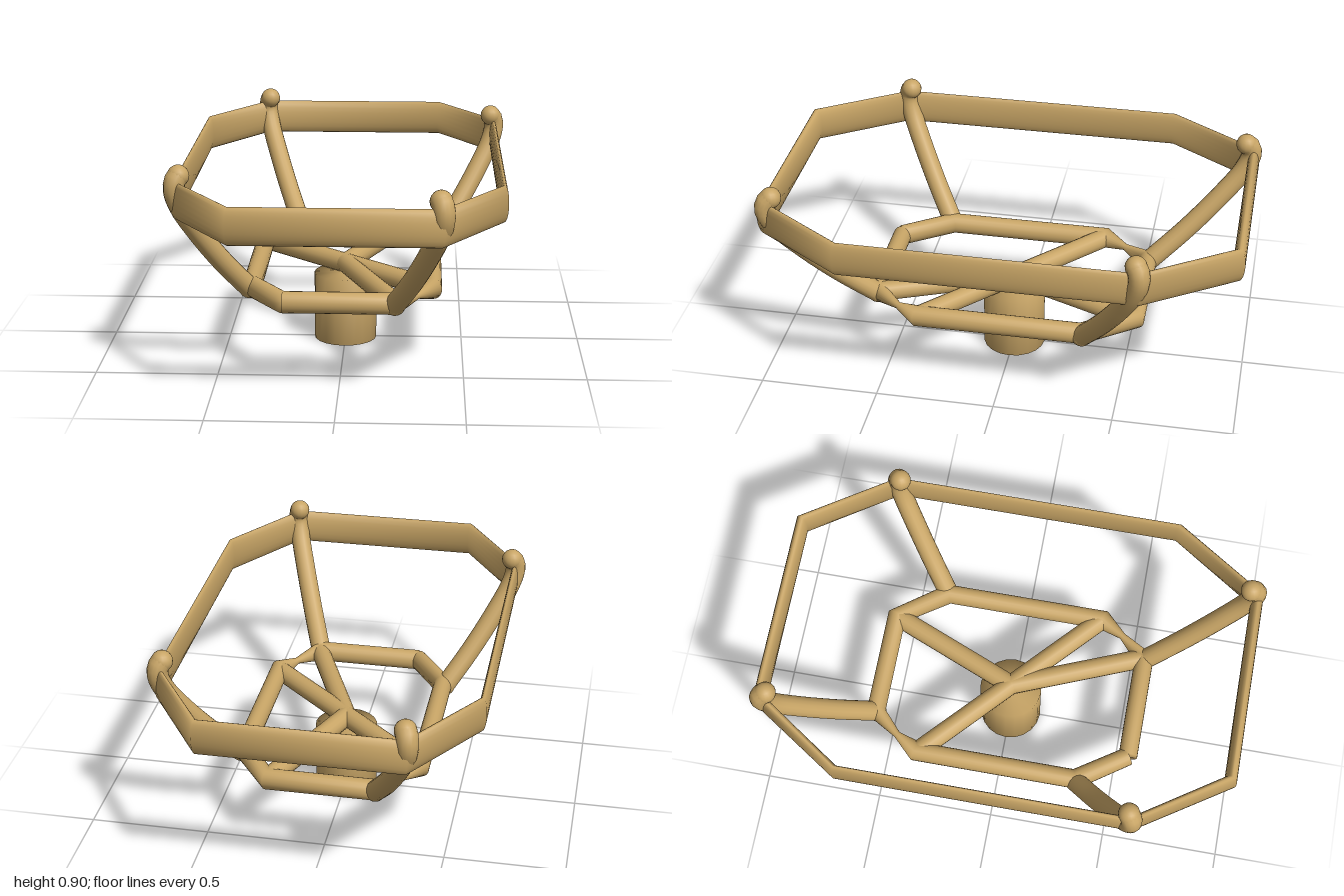
import * as THREE from 'three';
import { mergeVertices } from 'three/addons/utils/BufferGeometryUtils.js';

const material = new THREE.MeshStandardMaterial({ color: 0xc8a566, side: THREE.DoubleSide });

function add(parent, name, geometry) {
  const mesh = new THREE.Mesh(geometry, material);
  mesh.name = name;
  parent.add(mesh);
  return mesh;
}

// Loft of elliptical sections [x, z, offsetX, offsetZ, halfHeight] at height y
function loft(sections, y, closed, sides = 20) {
  const positions = [], index = [];
  for (const [x, z, ox, oz, h] of sections) {
    for (let j = 0; j < sides; j++) {
      const a = (j / sides) * Math.PI * 2;
      positions.push(x + ox * Math.cos(a), y + h * Math.sin(a), z + oz * Math.cos(a));
    }
  }
  const n = sections.length;
  for (let i = 0; i < (closed ? n : n - 1); i++) {
    for (let j = 0; j < sides; j++) {
      const k = (j + 1) % sides, m = (i + 1) % n;
      const a = i * sides + j, b = i * sides + k, c = m * sides + k, d = m * sides + j;
      index.push(a, b, d, b, c, d);
    }
  }
  const geometry = new THREE.BufferGeometry();
  geometry.setAttribute('position', new THREE.Float32BufferAttribute(positions, 3));
  geometry.setIndex(index);
  geometry.computeVertexNormals();
  return geometry;
}

// Straight round bar between two points
function bar(from, to, radius) {
  return new THREE.TubeGeometry(new THREE.LineCurve3(from, to), 1, radius, 16);
}

export function createModel() {
  const group = new THREE.Group();

  // Central post with softly shaded edges
  const post = new THREE.CylinderGeometry(0.133, 0.133, 0.29, 20);
  post.deleteAttribute('normal');
  post.deleteAttribute('uv');
  const softPost = mergeVertices(post);
  softPost.computeVertexNormals();
  add(group, 'post', softPost).position.y = 0.145;

  // Tall octagonal rim, walked from front left to front right and round the back
  const quarter = [[0.40, 0.965, 0.01, 0.025], [0.643, 0.60, 0.0175, 0.01]];
  const corner = ([x, z, ox, oz], sx, sz) => [x * sx, z * sz, ox * sx, oz * sz, 0.075];
  const rim = [
    corner(quarter[0], -1, 1), corner(quarter[0], 1, 1),
    corner(quarter[1], 1, 1), corner(quarter[1], 1, -1),
    corner(quarter[0], 1, -1), corner(quarter[0], -1, -1),
    corner(quarter[1], -1, -1), corner(quarter[1], -1, 1),
  ];
  add(group, 'rim', loft(rim, 0.76, true));

  // Lower ring: open at the front left corner, pinched on two diagonals
  const h = 0.045;
  const ring = [
    [-0.23, 0.55, 0, 0, 0], [-0.23, 0.55, 0, 0.04, h],
    [0.225, 0.55, 0.015, 0.04, h],
    [0.31, 0.44, 0.012, 0.009, 0.014],
    [0.37, 0.345, 0.04, 0.015, h], [0.37, -0.345, 0.04, -0.015, h],
    [0.225, -0.55, 0.015, -0.04, h], [-0.225, -0.55, -0.015, -0.04, h],
    [-0.31, -0.44, -0.012, -0.009, 0.014],
    [-0.37, -0.345, -0.04, -0.015, h], [-0.37, 0.345, -0.04, 0.015, h],
    [-0.23, 0.55, -0.032, 0.022, h], [-0.23, 0.55, 0, 0, 0],
  ];
  add(group, 'lowerRing', loft(ring, 0.33, false));

  // Spokes from the post to the lower ring
  const hub = new THREE.Vector3(0, 0.33, 0);
  for (const [x, z] of [[0.375, 0.345], [0.225, 0.55], [-0.375, -0.345], [0.225, -0.55]]) {
    add(group, 'spoke', bar(hub, new THREE.Vector3(x, 0.33, z), 0.042));
  }
  add(group, 'hub', new THREE.SphereGeometry(0.042, 16, 12)).position.copy(hub);

  // Curved arms rising from the ring and hooking over the rim
  const profile = [[0, 0.325], [0.37, 0.465], [0.7, 0.61], [0.93, 0.73],
    [1.0, 0.80], [0.985, 0.838], [0.94, 0.855]];
  const arms = [[0.38, 0.35, 0.645, 0.60, -1, 1], [0.38, 0.35, 0.645, 0.60, 1, -1],
    [0.22, 0.55, 0.405, 0.955, 1, 1], [0.22, 0.55, 0.405, 0.955, -1, -1]];
  for (const [ax, az, bx, bz, sx, sz] of arms) {
    const points = profile.map(([t, y]) => new THREE.Vector3(
      sx * (ax + (bx - ax) * t), y, sz * (az + (bz - az) * t)));
    const arm = new THREE.Group();
    arm.name = 'arm';
    add(arm, 'armTube', new THREE.TubeGeometry(new THREE.CatmullRomCurve3(points), 32, 0.043, 16));
    for (const end of [points[0], points[points.length - 1]]) {
      add(arm, 'armEnd', new THREE.SphereGeometry(0.044, 16, 12)).position.copy(end);
    }
    group.add(arm);
  }

  return group;
}
